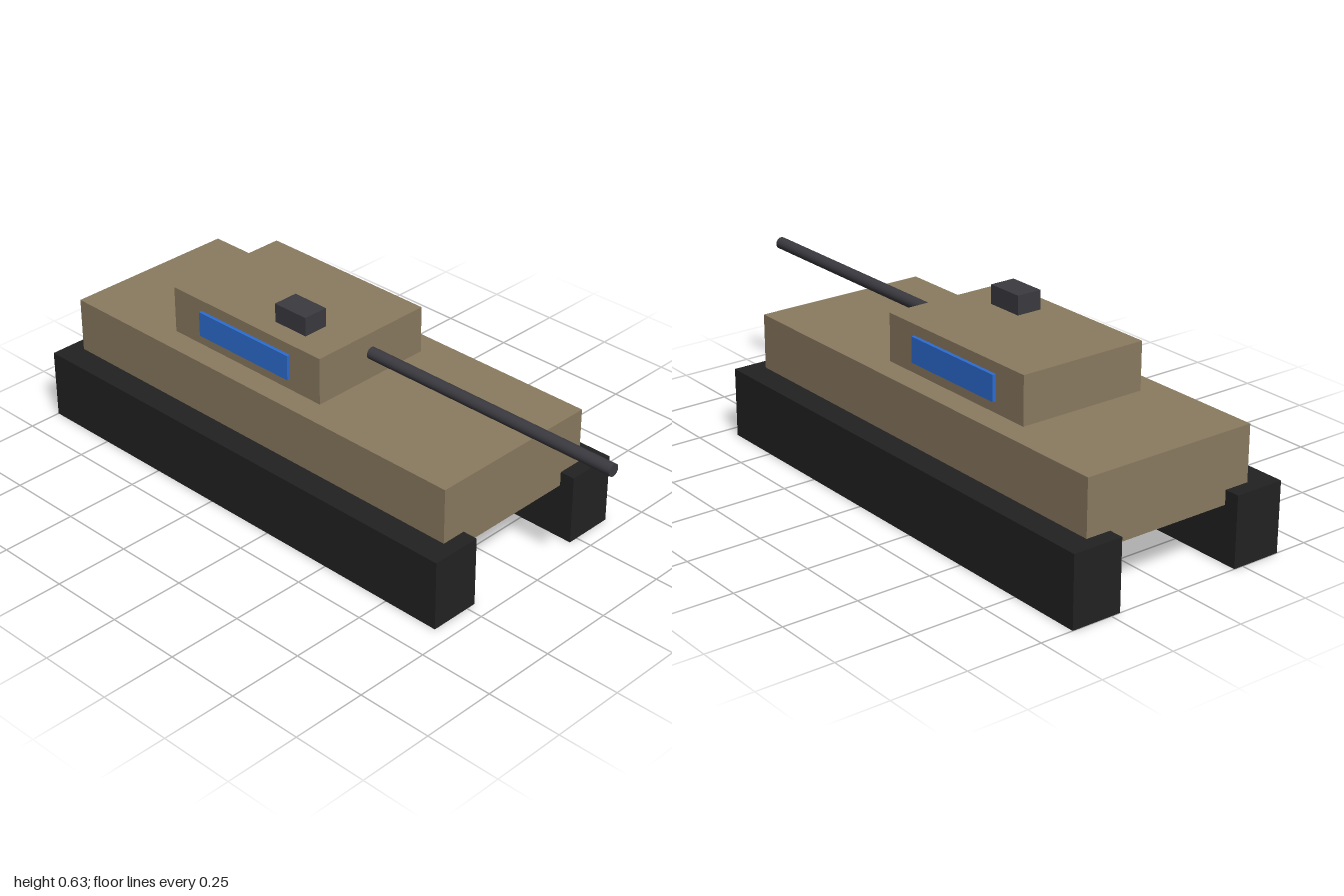
import * as THREE from 'three';

const material = (name, color) => Object.assign(new THREE.MeshStandardMaterial({ color }), { name });

export function createModel() {
  const group = new THREE.Group();
  group.name = 'tank';
  const tan = material('tan armour', 0x8a7a60);
  const black = material('black track', 0x222222);
  const steel = material('dark steel', 0x3a3a40);
  const blue = material('blue marking', 0x2d6cd2);

  // Box given by its extents along each axis
  const box = (name, mat, [x0, x1], [y0, y1], [z0, z1]) => {
    const mesh = new THREE.Mesh(new THREE.BoxGeometry(x1 - x0, y1 - y0, z1 - z0), mat);
    mesh.position.set((x0 + x1) / 2, (y0 + y1) / 2, (z0 + z1) / 2);
    mesh.name = name;
    group.add(mesh);
  };

  // Body
  box('hull', tan, [-0.303, 0.303], [0.185, 0.415], [-0.95, 0.645]);
  box('turret', tan, [-0.222, 0.222], [0.415, 0.572], [-0.575, 0.066]);
  box('hatch', steel, [-0.155, -0.068], [0.572, 0.635], [-0.19, -0.06]);

  // Tracks and turret side panels, mirrored
  for (const [side, s] of [['left', 1], ['right', -1]]) {
    const span = (a, b) => (s > 0 ? [a, b] : [-b, -a]);
    box(side + 'Track', black, span(0.218, 0.389), [0, 0.232], [-1, 0.695]);
    box(side + 'Panel', blue, span(0.222, 0.234), [0.452, 0.536], [-0.45, -0.06]);
  }

  // Gun barrel
  const barrel = new THREE.Mesh(new THREE.CylinderGeometry(0.02, 0.02, 0.94, 24), steel);
  barrel.rotation.x = Math.PI / 2;
  barrel.position.set(0, 0.502, 0.53);
  barrel.name = 'gunBarrel';
  group.add(barrel);

  return group;
}
